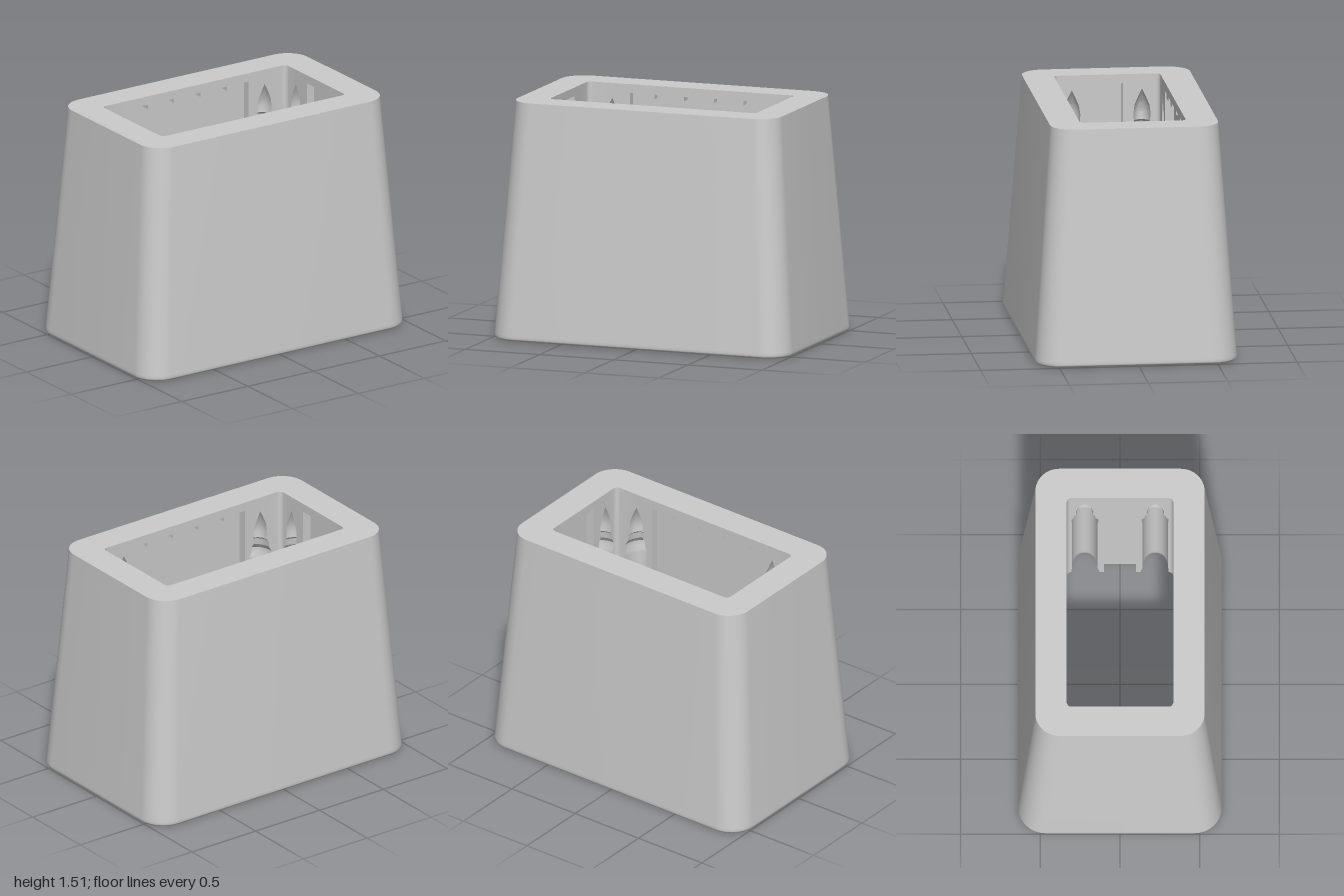
import * as THREE from 'three';
import { toCreasedNormals } from 'three/addons/utils/BufferGeometryUtils.js';

const HEIGHT = 1.506;
const material = new THREE.MeshStandardMaterial({ color: 0xcccccc });

// Mirrors a quarter outline, running from the x axis to the z axis, to all four sides
function fullOutline(quarter) {
  const back = [...quarter].reverse();
  return [[quarter, 1, 1], [back, -1, 1], [quarter, -1, -1], [back, 1, -1]]
    .flatMap(([points, sx, sz]) => points.slice(0, -1).map(([x, z]) => [sx * x, sz * z]));
}

// Quarter arc of a rounded corner
function cornerArc(hx, hz, r, steps) {
  const points = [];
  for (let i = 0; i <= steps; i++) {
    const a = (i / steps) * Math.PI / 2;
    points.push([hx - r + r * Math.cos(a), hz - r + r * Math.sin(a)]);
  }
  return points;
}

function roundedRect(hx, hz, r) {
  return fullOutline([[hx, 0], ...cornerArc(hx, hz, r, 12), [0, hz]]);
}

// Rounded or square niche: [along the wall, depth into the wall]
function niche(centre, radius, square) {
  const points = [];
  for (let i = 0; i <= 16; i++) {
    const a = (i / 16) * Math.PI, c = -Math.cos(a), s = Math.sin(a);
    const k = square ? radius / Math.max(Math.abs(c), s) : radius;
    points.push([centre + k * c, k * s * (square ? 1 : 1.35)]);
  }
  return points;
}

// Plan of the hollow: shallow recess in each wall and a niche on each side of every corner
function hollowOutline(offset, radius, square, recess) {
  const hx = 0.696 + offset, hz = 0.335 + offset;
  return fullOutline([
    [hx + recess, 0], [hx + recess, 0.1], [hx, 0.1],
    ...niche(0.222, radius, square).map(([t, d]) => [hx + d, t]),
    ...cornerArc(hx, hz, 0.03, 5),
    ...niche(0.535, radius, square).reverse().map(([t, d]) => [t, hz + d]),
    [0.415, hz], [0.415, hz + recess], [0, hz + recess],
  ]);
}

// Skin through outlines [y, points]; rising order faces outward, falling order inward
function skin(rings) {
  const n = rings[0][1].length, index = [];
  const pos = rings.flatMap(([y, points]) => points.flatMap(([x, z]) => [x, y, z]));
  for (let k = 0; k < rings.length - 1; k++) {
    for (let i = 0; i < n; i++) {
      const p = k * n, q = p + n, j = (i + 1) % n;
      index.push(p + i, q + i, p + j, p + j, q + i, q + j);
    }
  }
  const g = new THREE.BufferGeometry();
  g.setAttribute('position', new THREE.Float32BufferAttribute(pos, 3));
  g.setIndex(index);
  return toCreasedNormals(g, 0.4);
}

// Flat rim between an outer and an inner outline
function rim(outer, inner, facing) {
  const toPoints = (outline) => outline
    .map(([x, z]) => new THREE.Vector2(x, z))
    .filter((p, i, all) => p.distanceTo(all[(i + 1) % all.length]) > 1e-5);
  const shape = new THREE.Shape(toPoints(outer));
  shape.holes.push(new THREE.Path(toPoints(inner)));
  return new THREE.ShapeGeometry(shape).rotateX(-facing * Math.PI / 2);
}

function add(parent, name, geometry, x = 0, y = 0, z = 0) {
  const mesh = new THREE.Mesh(geometry, material);
  mesh.name = name;
  mesh.position.set(x, y, z);
  parent.add(mesh);
}

export function createModel() {
  const model = new THREE.Group();
  model.name = 'taperedSleeve';

  // Tapered outer wall with a rounded foot
  const outer = [];
  for (let i = 0; i <= 6; i++) {
    const a = (i / 6) * Math.PI / 2, inset = 0.02 * (1 - Math.sin(a));
    outer.push([0.02 * (1 - Math.cos(a)), roundedRect(1 - inset, 0.639 - inset, 0.17 - inset)]);
  }
  outer.push([0.035, roundedRect(0.999, 0.638, 0.17)], [HEIGHT, roundedRect(0.892, 0.531, 0.15)]);
  add(model, 'outerWall', skin(outer));

  // Hollow: [y, outward offset, niche radius, square niche, recess depth], top to bottom
  const inner = [
    [HEIGHT, 0, 0, false, 0],
    [1.45, 0, 0, false, 0],
    [1.45, 0, 0, false, 0.055],
    [1.41, 0, 0, false, 0.055],
    [1.37, 0, 0.02, false, 0.055],
    [1.31, 0, 0.046, false, 0.055],
    [1.25, 0, 0.055, false, 0.055],
    [1.2, 0, 0.05, false, 0.055],
    [1.185, 0, 0.064, false, 0.055],
    [1.14, 0, 0.07, false, 0.055],
    [1.11, 0, 0.088, false, 0.055],
    [1.08, 0, 0.088, false, 0.055],
    [1.05, 0, 0.08, false, 0.055],
    [1.03, 0, 0.08, false, 0.055],
    [0.24, 0, 0.08, false, 0.055],
    [0.22, 0, 0.08, false, 0.055],
    [0.18, 0, 0.09, false, 0.055],
    [0.15, 0, 0.095, false, 0.055],
    [0.13, 0.015, 0.095, false, 0.055],
    [0.13, 0.035, 0.118, true, 0.055],
    [0.09, 0.06, 0.118, true, 0.055],
    [0.05, 0.075, 0.118, true, 0.055],
    [0, 0.08, 0.118, true, 0.055],
  ].map(([y, ...plan]) => [y, hollowOutline(...plan)]);
  add(model, 'hollow', skin(inner));

  add(model, 'topRim', rim(outer.at(-1)[1], inner[0][1], 1), 0, HEIGHT, 0);
  add(model, 'bottomRim', rim(outer[0][1], inner.at(-1)[1], -1));

  // Small teeth under the lip along each long wall
  for (const side of [1, -1]) {
    for (let i = 0; i < 4; i++) {
      add(model, 'lipTooth', new THREE.BoxGeometry(0.1, 0.03, 0.054),
        -0.3 + i * 0.2, 1.436, side * 0.363);
    }
  }
  return model;
}
